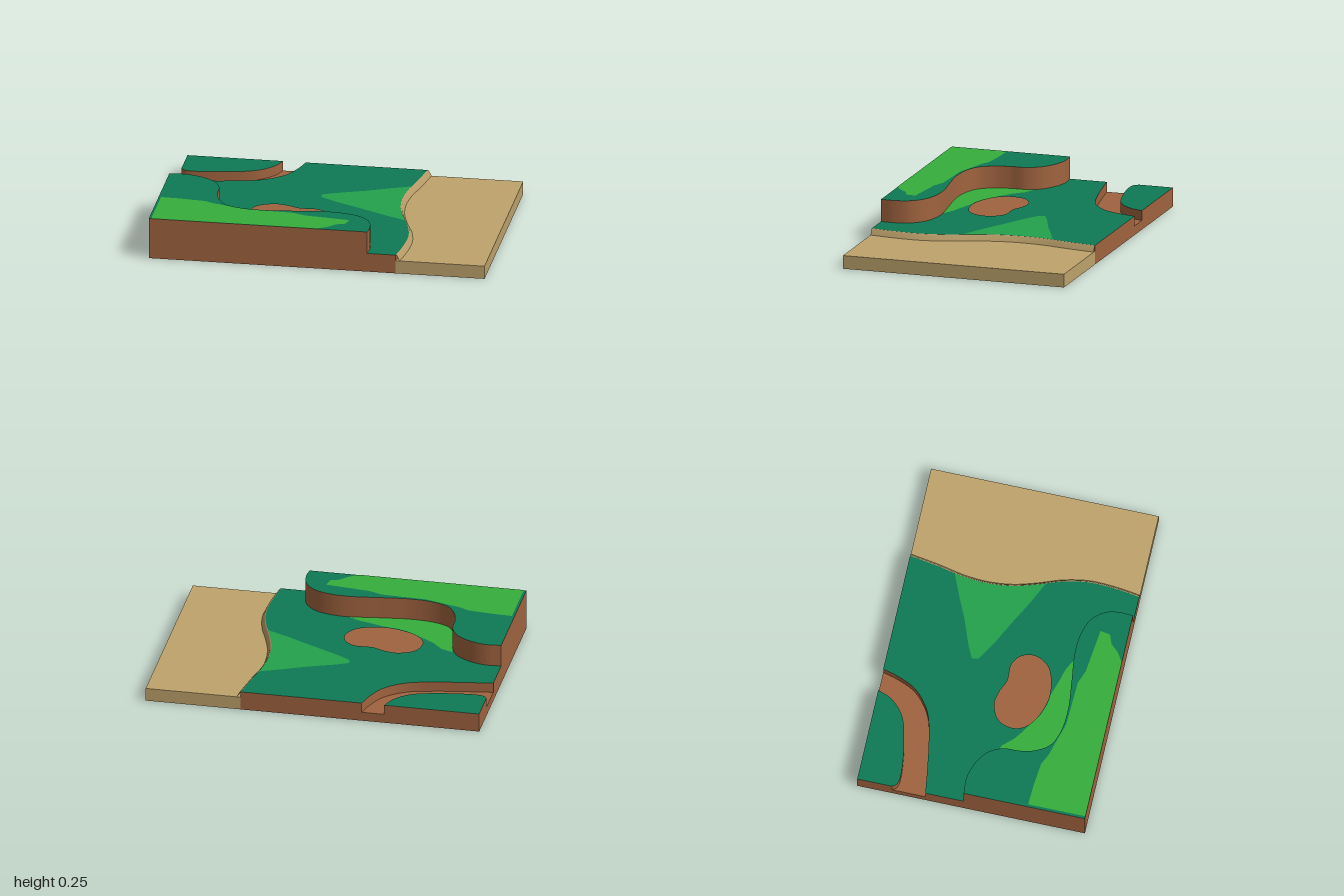
import * as THREE from 'three';

const mat = (name, color, extra = {}) => {
  const m = new THREE.MeshStandardMaterial({ color, ...extra });
  m.name = name;
  return m;
};

// Plan outlines are [x, z] pairs; smooth() runs a curve through them.
const smooth = (pts, n = 60, closed = false) => {
  const list = closed ? [...pts, pts[0]] : pts;
  const curve = new THREE.CatmullRomCurve3(
    (closed ? pts : list).map(([x, z]) => new THREE.Vector3(x, 0, z)), closed);
  return curve.getPoints(n).slice(0, closed ? n : n + 1).map((p) => [p.x, p.z]);
};
const toVec = (pts) => pts.map(([x, z]) => new THREE.Vector2(x, -z));

const W = 1, D = 0.685;                       // half width and half depth
const BED = 0.055, SAND = 0.08, LAND = 0.115, HILL = 0.25;

export function createModel() {
  const earth = mat('earth', 0xa0633f);
  const grass = mat('dark grass', 0x0e7a55);
  const meadow = mat('mid grass', 0x23a24b);
  const lawn = mat('light grass', 0x36ae3b);
  const sand = mat('sand', 0xbea36c);
  const bankSand = mat('bank sand', 0xb89c68, { side: THREE.DoubleSide });

  const model = new THREE.Group();
  model.name = 'terrainTile';

  const add = (name, geometry, material) => {
    const mesh = new THREE.Mesh(geometry, material);
    mesh.name = name;
    model.add(mesh);
    return mesh;
  };
  // Slab standing between two heights; materials are [caps, sides].
  const slab = (name, pts, y0, y1, material, hole) => {
    const shape = new THREE.Shape(toVec(pts));
    if (hole) shape.holes.push(new THREE.Path(toVec(hole)));
    const g = new THREE.ExtrudeGeometry(shape, { depth: y1 - y0, bevelEnabled: false });
    g.rotateX(-Math.PI / 2).translate(0, y0, 0);
    return add(name, g, material);
  };
  // Painted area lying just above a surface.
  const patch = (name, pts, y, material) => {
    const g = new THREE.ShapeGeometry(new THREE.Shape(toVec(pts)));
    g.rotateX(-Math.PI / 2).translate(0, y + 0.002, 0);
    return add(name, g, material);
  };

  // Outlines
  const shore = smooth([[0.43, -D], [0.4, -0.5], [0.37, -0.35], [0.36, -0.21], [0.375, -0.06],
    [0.415, 0.08], [0.465, 0.22], [0.493, 0.36], [0.495, 0.46], [0.485, 0.58], [0.47, D]], 80);
  const riverOuter = smooth([[-W, -0.275], [-0.83, -0.3], [-0.66, -0.33], [-0.5, -0.375],
    [-0.38, -0.47], [-0.325, -0.58], [-0.295, -D]]);
  const riverInner = smooth([[-W, -0.475], [-0.98, -0.45], [-0.93, -0.44], [-0.72, -0.465],
    [-0.555, -0.515], [-0.465, -0.6], [-0.43, -D]]);
  const pond = smooth([[-0.49, 0.145], [-0.465, 0.05], [-0.37, 0], [-0.29, 0.01], [-0.21, 0.042],
    [-0.1, 0.045], [-0.04, 0.09], [-0.022, 0.17], [-0.075, 0.26], [-0.235, 0.305],
    [-0.37, 0.275], [-0.46, 0.215]], 72, true);
  const hillEdge = smooth([[-W, -0.045], [-0.9, -0.05], [-0.81, -0.025], [-0.72, 0.035],
    [-0.675, 0.12], [-0.668, 0.22], [-0.645, 0.31], [-0.59, 0.39], [-0.49, 0.43], [-0.35, 0.44],
    [-0.2, 0.425], [0, 0.402], [0.12, 0.41], [0.22, 0.447], [0.285, 0.52], [0.305, 0.61],
    [0.3, D]], 110);

  // Earth base, which also forms the river and pond beds
  slab('earthBase', [[-W, -D], ...shore, [-W, D]], 0, BED, earth);

  // Grass ground with the pond cut out, and the corner beyond the river
  slab('grassGround', [...riverOuter, ...shore, [-W, D]], BED, LAND, [grass, earth], pond);
  slab('riverCorner', [...riverInner, [-W, -D]], BED, LAND, [grass, earth]);

  // Raised hill
  slab('hill', [...hillEdge, [-W, D]], LAND, HILL, [grass, earth]);

  // Beach and its sloping bank
  slab('beach', [...shore, [W, D], [W, -D]], 0, SAND, sand);
  const pos = [], idx = [];
  shore.forEach(([x, z], i) => {
    pos.push(x, LAND, z, x + 0.008, LAND - 0.003, z, x + 0.024, SAND, z);
    if (i) {
      for (let k = 0; k < 2; k++) {
        const a = (i - 1) * 3 + k, b = i * 3 + k;
        idx.push(a, b, b + 1, a, b + 1, a + 1);
      }
    }
  });
  const bank = new THREE.BufferGeometry();
  bank.setAttribute('position', new THREE.Float32BufferAttribute(pos, 3));
  bank.setIndex(idx);
  bank.computeVertexNormals();
  add('beachBank', bank, bankSand);

  // Lighter grass areas
  patch('shoreMeadow', [[-0.12, -0.19], [-0.05, -0.225], [0.12, -0.29], [0.25, -0.35],
    ...shore.filter(([, z]) => z > -0.41 && z < 0.14),
    [0.3, 0.07], [0.15, -0.01], [0, -0.085], [-0.11, -0.15]], LAND, meadow);
  patch('pondLawn', [[-0.68, 0.07], [-0.61, 0.1], [-0.555, 0.16], [-0.5, 0.2], [-0.465, 0.22],
    [-0.37, 0.282], [-0.3, 0.305], [-0.235, 0.312], [-0.13, 0.345], [-0.07, 0.36], [0, 0.395],
    [0, 0.42], [-0.3, 0.46], [-0.55, 0.45], [-0.7, 0.3]], LAND, lawn);
  patch('hillLawn', [[-0.985, 0.34], [-0.87, 0.345], [-0.72, 0.36], [-0.66, 0.39], [-0.55, 0.42],
    [-0.45, 0.45], [-0.18, 0.46], [-0.1, 0.49], [0.03, 0.505], [0.165, 0.52], [0.155, 0.58],
    [0.1, 0.6], [0.06, 0.645], [0, D], [-0.985, D]], HILL, lawn);

  return model;
}
